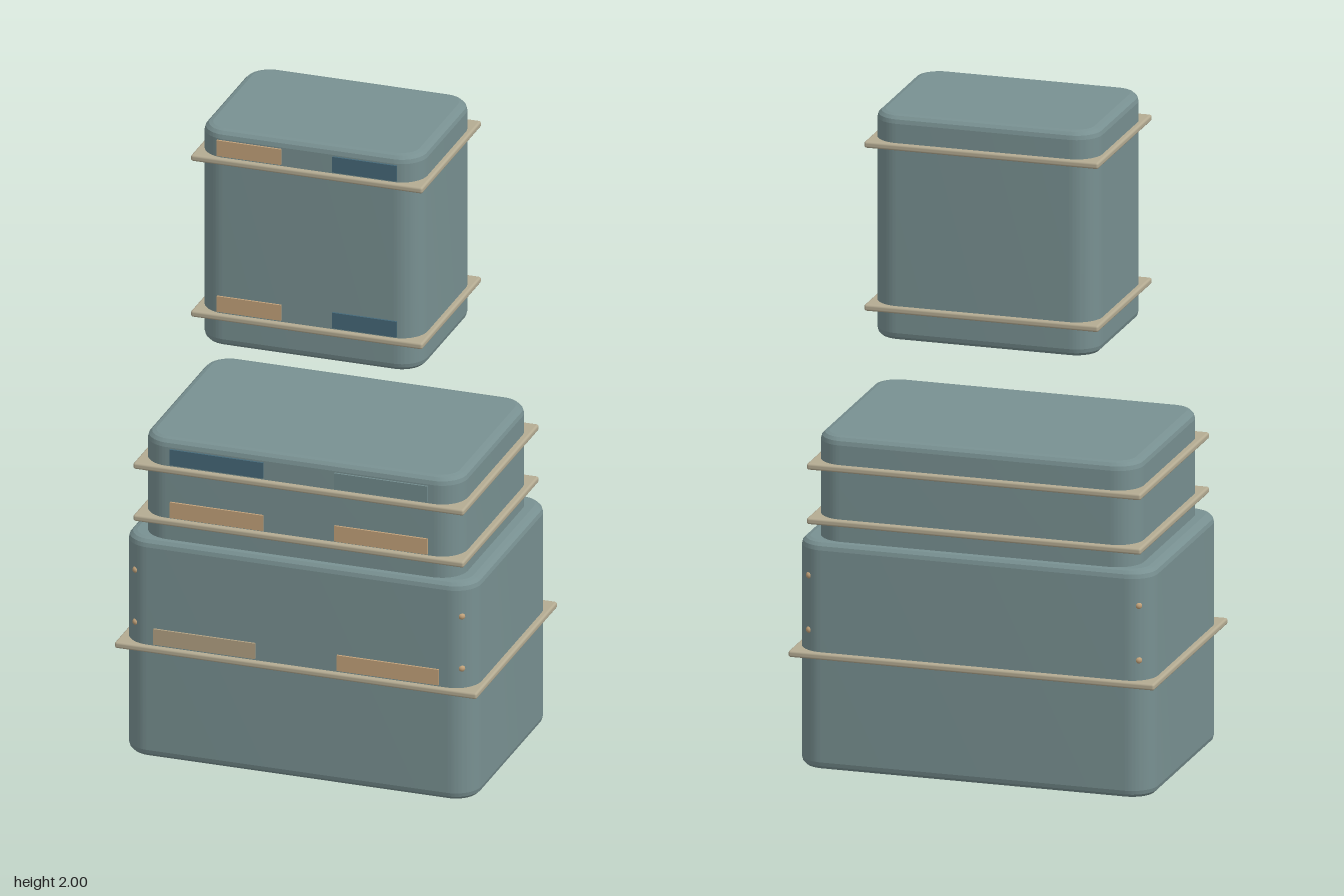
import * as THREE from 'three';
import { mergeVertices, toCreasedNormals } from 'three/addons/utils/BufferGeometryUtils.js';
import { RoundedBoxGeometry } from 'three/addons/geometries/RoundedBoxGeometry.js';

const mat = (name, color) => new THREE.MeshStandardMaterial({ name, color });

// Block with rounded vertical corners and bevelled top and bottom rims
function blockGeometry(w, h, d, r = 0.08, bevel = 0.025) {
  const x = w / 2 - bevel, z = d / 2 - bevel, c = r - bevel;
  const s = new THREE.Shape();
  s.moveTo(-x + c, -z);
  s.lineTo(x - c, -z);
  s.absarc(x - c, -z + c, c, -Math.PI / 2, 0, false);
  s.lineTo(x, z - c);
  s.absarc(x - c, z - c, c, 0, Math.PI / 2, false);
  s.lineTo(-x + c, z);
  s.absarc(-x + c, z - c, c, Math.PI / 2, Math.PI, false);
  s.lineTo(-x, -z + c);
  s.absarc(-x + c, -z + c, c, Math.PI, Math.PI * 1.5, false);
  const g = new THREE.ExtrudeGeometry(s, {
    depth: h - 2 * bevel, curveSegments: 12,
    bevelEnabled: true, bevelThickness: bevel, bevelSize: bevel, bevelSegments: 3,
  });
  g.translate(0, 0, bevel);
  g.rotateX(-Math.PI / 2);
  g.deleteAttribute('uv');
  g.deleteAttribute('normal');
  return toCreasedNormals(mergeVertices(g, 1e-5), 0.2);
}

export function createModel() {
  const wall = mat('wall teal', 0x789091);
  const ledge = mat('ledge stone', 0xb4ab92);
  const amber = mat('window amber', 0xc2a27a);
  const sand = mat('window sand', 0xb3a283);
  const blue = mat('window blue', 0x456878);
  const grey = mat('window grey teal', 0x728b8d);

  const model = new THREE.Group();
  model.name = 'tieredTower';

  const add = (parent, name, geometry, material, x, y, z) => {
    const m = new THREE.Mesh(geometry, material);
    m.name = name;
    m.position.set(x, y, z);
    parent.add(m);
    return m;
  };

  // Each floor row: ledge height, window centre height, left and right window colours
  const tiers = [
    { name: 'lowerTier', w: 1.094, d: 0.685, y0: 0, y1: 0.7, lw: 1.128, ld: 0.714,
      winX: 0.286, winW: 0.317, winZ: 0.351,
      rows: [[0.353, 0.396, sand, amber]] },
    { name: 'middleTier', w: 0.992, d: 0.638, y0: 0.64, y1: 1.02, lw: 1.03, ld: 0.666,
      winX: 0.256, winW: 0.29, winZ: 0.327,
      rows: [[0.758, 0.799, amber, amber], [0.925, 0.968, blue, grey]] },
    { name: 'upperTier', w: 0.69, d: 0.494, y0: 1.308, y1: 2, lw: 0.722, ld: 0.522,
      winX: 0.18, winW: 0.2, winZ: 0.256,
      rows: [[1.406, 1.449, amber, blue], [1.906, 1.949, amber, blue]] },
  ];

  for (const t of tiers) {
    const tier = new THREE.Group();
    tier.name = t.name;
    model.add(tier);
    add(tier, 'block', blockGeometry(t.w, t.y1 - t.y0, t.d), wall, 0, t.y0, 0);
    const ledgeGeo = new RoundedBoxGeometry(t.lw, 0.02, t.ld, 2, 0.007);
    const winGeo = new THREE.BoxGeometry(t.winW, 0.05, 0.006);
    for (const [ly, wy, a, b] of t.rows) {
      add(tier, 'ledge', ledgeGeo, ledge, 0, ly, 0);
      add(tier, 'rightWindow', winGeo, a, -t.winX, wy, t.winZ);
      add(tier, 'leftWindow', winGeo, b, t.winX, wy, t.winZ);
    }
  }

  // Small studs on the corners of the lower tier
  const stud = new THREE.SphereGeometry(0.011, 12, 8);
  for (const x of [-0.507, 0.507])
    for (const z of [-0.326, 0.326])
      for (const y of [0.425, 0.592]) add(model, 'cornerStud', stud, amber, x, y, z);

  return model;
}
